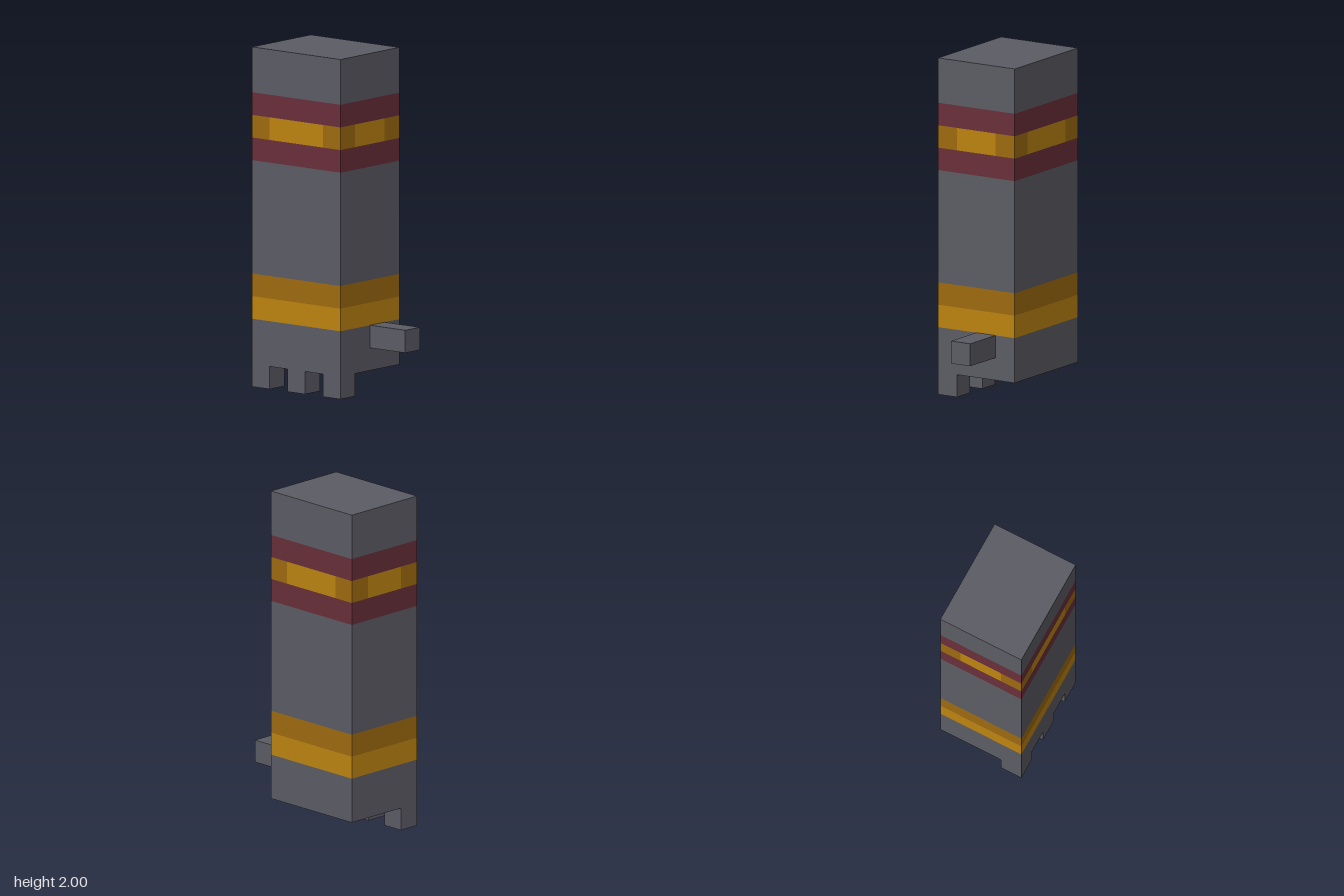
import * as THREE from 'three';

const U = 2 / 15; // one block

const mat = (name, color) => {
  const m = new THREE.MeshStandardMaterial({ color });
  m.name = name;
  return m;
};

export function createModel() {
  const model = new THREE.Group();
  model.name = 'blockTower';

  const grey = mat('slate grey', 0x5c5c65);
  const red = mat('dark red', 0x692f3a);
  const amber = mat('bright amber', 0xbd8410);
  const ochre = mat('dark amber', 0x9f6b10);

  // Box between two corners given in blocks
  const box = (name, material, [x0, y0, z0], [x1, y1, z1], parent = model) => {
    const mesh = new THREE.Mesh(
      new THREE.BoxGeometry((x1 - x0) * U, (y1 - y0) * U, (z1 - z0) * U), material);
    mesh.position.set((x0 + x1) * U / 2, (y0 + y1) * U / 2, (z0 + z1) * U / 2);
    mesh.name = name;
    parent.add(mesh);
  };

  // Full-width layers of the tower: bottom and top height
  const layers = [
    ['base', grey, 1, 3],
    ['lowerBrightBand', amber, 3, 4],
    ['lowerDarkBand', ochre, 4, 5],
    ['trunk', grey, 5, 10],
    ['lowerRedBand', red, 10, 11],
    ['upperRedBand', red, 12, 13],
    ['cap', grey, 13, 15],
  ];
  for (const [name, m, y0, y1] of layers) box(name, m, [-2, y0, -3.5], [2, y1, 1.5]);

  // Window band: dark corner blocks with bright panels between them on every side
  const band = new THREE.Group();
  band.name = 'windowBand';
  model.add(band);
  for (const x of [-2, 1])
    for (const z of [-3.5, 0.5])
      box('cornerBlock', ochre, [x, 11, z], [x + 1, 12, z + 1], band);
  box('frontBackPanel', amber, [-1, 11, -3.5], [1, 12, 1.5], band);
  box('sidePanel', amber, [-2, 11, -2.5], [2, 12, 0.5], band);

  // Three feet along the right edge
  for (const z of [-3.5, -1.5, 0.5]) box('foot', grey, [-2, 0, z], [-1, 1, z + 1]);

  // Peg sticking out of the front
  box('frontPeg', grey, [0, 2, 1.5], [1, 3, 3.5]);

  return model;
}
